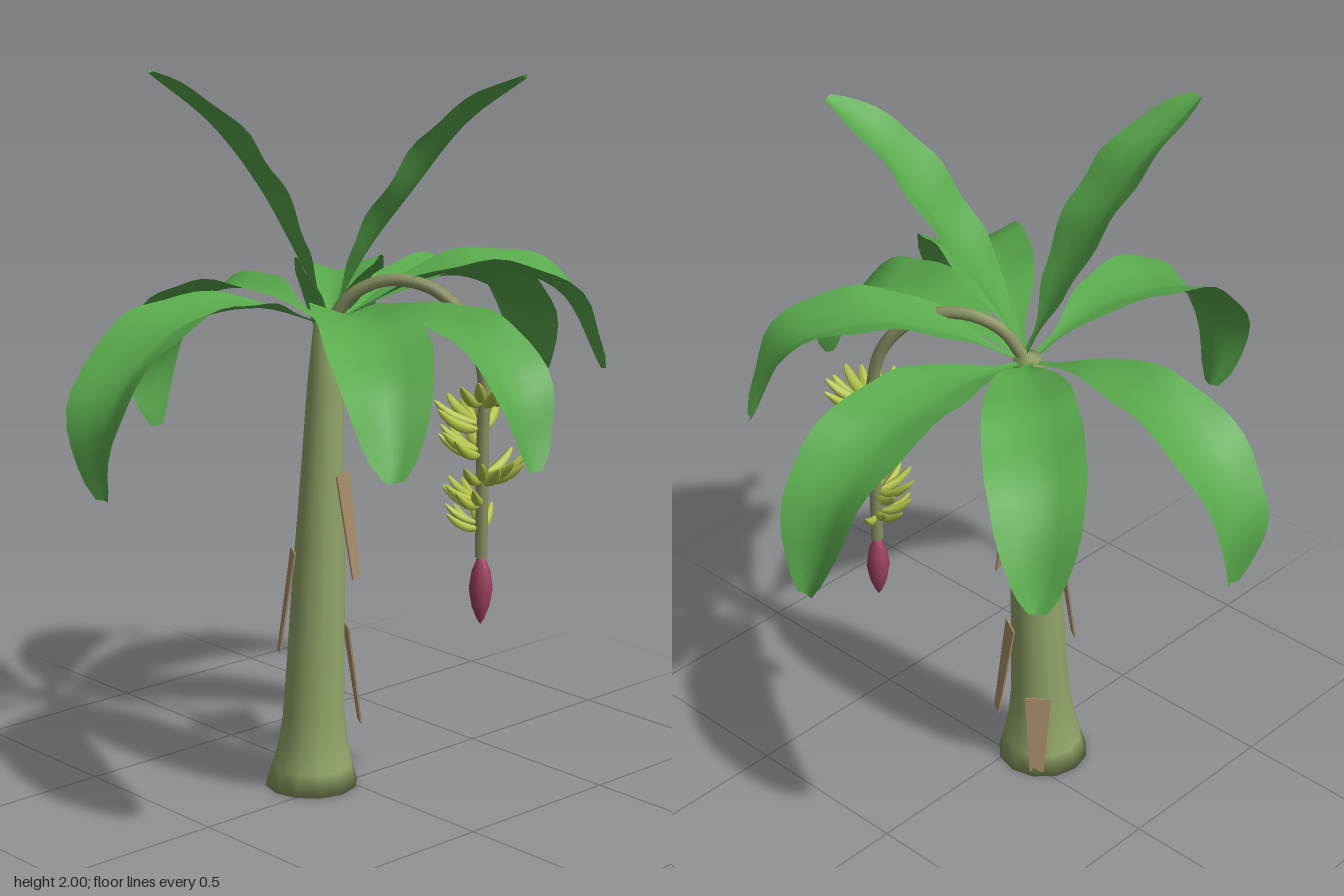
import * as THREE from 'three';

const V = (x, y, z) => new THREE.Vector3(x, y, z);
const mat = (color, thin) =>
  new THREE.MeshStandardMaterial({ color, side: thin ? THREE.DoubleSide : THREE.FrontSide });
const leafMat = mat(0x58a94b, true);
const trunkMat = mat(0x90a367);
const stalkMat = mat(0x879060);
const barkMat = mat(0xa58c68, true);
const fruitMat = mat(0xb4c348);
const budMat = mat(0x9c4060);

function add(parent, name, geometry, material) {
  const mesh = new THREE.Mesh(geometry, material);
  mesh.name = name;
  parent.add(mesh);
  return mesh;
}

// Linear lookup in [position, value] pairs
function lookup(keys, t) {
  for (let i = 1; i < keys.length; i++) {
    const [a, va] = keys[i - 1], [b, vb] = keys[i];
    if (t <= b) return va + (vb - va) * (t - a) / (b - a);
  }
  return keys[keys.length - 1][1];
}

// Half width of a leaf along its length: thin stem, broad blade, blunt tip
const leafWidth = [[0, 0.012], [0.1, 0.015], [0.16, 0.04], [0.24, 0.08], [0.36, 0.113],
  [0.5, 0.131], [0.66, 0.131], [0.8, 0.108], [0.9, 0.078], [0.96, 0.052], [1, 0.024]];

// V-channelled blade swept along a curve, folding more sharply towards the tip
function leafGeometry(points, scale, seed) {
  const curve = new THREE.CatmullRomCurve3(points.map(p => V(...p)));
  const rows = 24, cols = 4, pos = [], index = [];
  const run = V().subVectors(curve.getPoint(1), curve.getPoint(0)).setY(0).normalize();
  const side = V(run.z, 0, -run.x);
  for (let i = 0; i <= rows; i++) {
    const t = i / rows, p = curve.getPointAt(t);
    const up = V().crossVectors(curve.getTangentAt(t), side).normalize();
    const w = lookup(leafWidth, t) * scale;
    for (let j = 0; j <= cols; j++) {
      const s = j / cols * 2 - 1;
      const ripple = 0.05 * Math.sin(t * 26 + seed + s * 1.5);
      const q = p.clone().addScaledVector(side, s * w)
        .addScaledVector(up, Math.abs(s) * w * (0.3 + 0.16 * t * t + ripple));
      pos.push(q.x, q.y, q.z);
      if (i < rows && j < cols) {
        const a = i * (cols + 1) + j, b = a + cols + 1;
        index.push(a, a + 1, b, a + 1, b + 1, b);
      }
    }
  }
  const g = new THREE.BufferGeometry();
  g.setAttribute('position', new THREE.Float32BufferAttribute(pos, 3));
  g.setIndex(index);
  g.computeVertexNormals();
  return g;
}

// Centre of the leaning trunk at a height
const lean = y => V(-0.062 + 0.034 * y, y, 0.076 - 0.018 * y);
const trunkRadius = [[0, 0.13], [0.06, 0.113], [0.12, 0.099], [0.2, 0.088], [0.35, 0.082], [0.6, 0.074],
  [0.9, 0.06], [1.15, 0.05], [1.32, 0.038]];

function addTrunk(root) {
  const profile = [[0, 0], ...trunkRadius.map(([y, r]) => [r, y]), [0, 1.33]];
  const g = new THREE.LatheGeometry(profile.map(p => new THREE.Vector2(...p)), 12);
  const p = g.attributes.position;
  for (let i = 0; i < p.count; i++) {
    const c = lean(p.getY(i));
    p.setX(i, p.getX(i) + c.x);
    p.setZ(i, p.getZ(i) + c.z);
  }
  add(root, 'trunk', g, trunkMat);
}

// Dry bark flap: tapered plate hanging off the trunk, bottom swung outward
function addBark(root, angle, top, bottom) {
  const s = new THREE.Shape([[-0.037, 0], [-0.02, bottom - top], [0.02, bottom - top], [0.037, 0]]
    .map(p => new THREE.Vector2(...p)));
  const flap = add(root, 'barkFlap', new THREE.ExtrudeGeometry(s, { depth: 0.005, bevelEnabled: false }), barkMat);
  const r = lookup(trunkRadius, top);
  flap.position.copy(lean(top)).add(V(Math.cos(angle) * r, 0, Math.sin(angle) * r));
  flap.rotation.order = 'YXZ';
  flap.rotation.set(-0.14, Math.PI / 2 - angle, 0);
}

// One plump curved fruit pointing along +x and bending upward
function fruitGeometry() {
  const g = new THREE.SphereGeometry(1, 7, 8).rotateZ(-Math.PI / 2);
  const p = g.attributes.position;
  for (let i = 0; i < p.count; i++) {
    const u = (p.getX(i) + 1) / 2;
    p.setXYZ(i, 0.012 + 0.13 * u - 0.015 * u * u, p.getY(i) * 0.016 + 0.06 * u * u, p.getZ(i) * 0.016);
  }
  g.computeVertexNormals();
  return g;
}

function addBunch(root) {
  const bunch = new THREE.Group();
  bunch.name = 'fruitBunch';
  root.add(bunch);
  const path = [[-0.01, 1.31, 0.05], [0.04, 1.39, 0.02], [0.12, 1.435, -0.04], [0.22, 1.415, -0.11],
    [0.3, 1.325, -0.165], [0.333, 1.2, -0.185], [0.335, 1, -0.185], [0.335, 0.69, -0.185]];
  const curve = new THREE.CatmullRomCurve3(path.map(p => V(...p)));
  add(bunch, 'fruitStalk', new THREE.TubeGeometry(curve, 40, 0.018, 8), stalkMat);
  add(bunch, 'stalkEnd', new THREE.CircleGeometry(0.018, 8).rotateX(Math.PI / 2), stalkMat)
    .position.set(0.335, 0.69, -0.185);

  // Hands of fruit: height, facing angle, spread, count, size
  const fruit = fruitGeometry();
  const hands = [[1.13, -0.2, 2.9, 9, 1.03], [1.055, 3.1, 2.3, 7, 1.03], [0.985, 2.7, 2.5, 7, 0.95],
    [0.915, -0.2, 2.8, 8, 0.93], [0.845, 2.2, 2.4, 6, 0.85], [0.78, 3.1, 2.2, 5, 0.8]];
  for (const [y, facing, spread, count, size] of hands) {
    const hand = new THREE.Group();
    hand.name = 'fruitHand';
    hand.position.set(0.335, y, -0.185);
    bunch.add(hand);
    for (let i = 0; i < count; i++) {
      const f = add(hand, 'fruit', fruit, fruitMat);
      f.rotation.y = -facing + (i / (count - 1) - 0.5) * spread;
      f.position.y = (i % 2) * 0.014 - 0.01;
      f.scale.setScalar(size);
    }
  }

  // Pointed flower bud under the stalk
  const bud = [[0, 0.5], [0.01, 0.515], [0.024, 0.55], [0.033, 0.6], [0.026, 0.65], [0.012, 0.685], [0, 0.7]];
  add(bunch, 'flowerBud', new THREE.LatheGeometry(bud.map(p => new THREE.Vector2(...p)), 10), budMat)
    .position.set(0.335, 0, -0.185);
}

export function createModel() {
  const root = new THREE.Group();
  root.name = 'fruitTree';
  addTrunk(root);
  addBark(root, 2.15, 0.68, 0.39);
  addBark(root, -0.35, 0.9, 0.61);
  addBark(root, -1.05, 0.46, 0.17);
  addBark(root, -2.25, 0.25, 0.01);
  addBunch(root);

  // Leaves: centreline points from crown to tip, width scale
  const leaves = [
    [[[-0.02, 1.31, 0.03], [-0.04, 1.37, -0.25], [-0.06, 1.365, -0.5], [-0.065, 1.26, -0.7], [-0.07, 1.02, -0.81]], 1.04],
    [[[-0.02, 1.31, 0.07], [-0.04, 1.378, 0.28], [-0.06, 1.36, 0.52], [-0.06, 1.26, 0.685], [-0.06, 1.12, 0.775], [-0.065, 0.94, 0.77]], 1.04],
    [[[-0.04, 1.31, 0.05], [-0.25, 1.36, 0.055], [-0.46, 1.34, 0.06], [-0.62, 1.245, 0.065], [-0.715, 1.1, 0.07], [-0.715, 0.91, 0.08]], 0.95],
    [[[-0.01, 1.3, 0.05], [0.22, 1.36, 0.045], [0.45, 1.355, 0.04], [0.64, 1.255, 0.04], [0.735, 1.04, 0.04]], 0.92],
    [[[-0.01, 1.3, 0.06], [0.18, 1.375, 0.17], [0.38, 1.39, 0.29], [0.57, 1.29, 0.405], [0.69, 1.08, 0.48]], 1.03],
    [[[-0.01, 1.31, 0.04], [0.13, 1.42, -0.13], [0.26, 1.455, -0.28], [0.38, 1.395, -0.42], [0.455, 1.18, -0.515]], 0.92],
    [[[-0.03, 1.31, 0.04], [-0.17, 1.38, -0.11], [-0.32, 1.375, -0.26], [-0.48, 1.26, -0.41], [-0.565, 1.04, -0.495]], 0.98],
    [[[-0.01, 1.32, 0.05], [0.085, 1.505, 0.01], [0.2, 1.685, -0.055], [0.33, 1.865, -0.12], [0.48, 1.985, -0.18]], 0.87],
    [[[-0.01, 1.32, 0.05], [-0.06, 1.515, 0.135], [-0.11, 1.695, 0.22], [-0.165, 1.855, 0.33], [-0.22, 1.99, 0.485]], 0.87],
  ];
  leaves.forEach(([points, scale], i) => add(root, 'leaf', leafGeometry(points, scale, i * 1.7), leafMat));
  return root;
}
